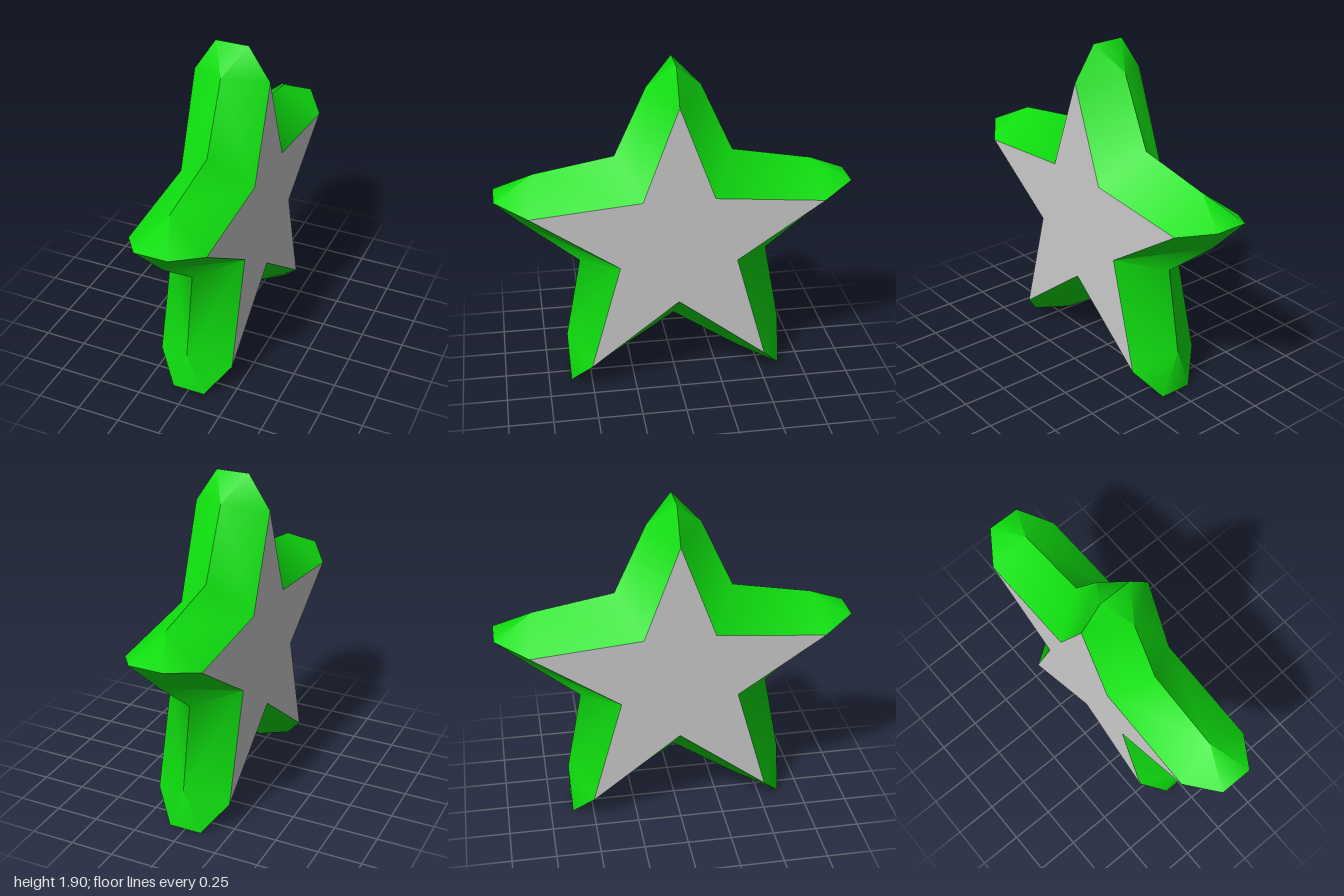
import * as THREE from 'three';
import { toCreasedNormals } from 'three/addons/utils/BufferGeometryUtils.js';

const FACE_X = 0.22, TIP_X = 0.095, CENTRE = new THREE.Vector3(0, 0.87, 0);

// Right half of each arm's outline as [z, y]; the other half is mirrored.
// Each arm: outer tip, face tip, shoulder before, shoulder after, valley after, face valley after.
const half = [
  { tip: [0, 1.9], face: [0, 1.71], before: [-0.15, 1.76], after: [0.15, 1.76], valley: [0.33, 1.37], notch: [0.2, 1.175] },
  { tip: [1, 1.175], face: [0.82, 1.12], before: [0.78, 1.29], after: [0.87, 1.01], valley: [0.54, 0.74], notch: [0.33, 0.785] },
  { tip: [0.62, 0], face: [0.505, 0.155], before: [0.63, 0.26], after: [0.39, 0.085], valley: [0, 0.35], notch: [0, 0.545] },
];
const flip = ([z, y]) => [-z, y];
const mirrored = (i, j) => ({
  tip: flip(half[i].tip), face: flip(half[i].face),
  before: flip(half[i].after), after: flip(half[i].before),
  valley: flip(half[j].valley), notch: flip(half[j].notch),
});
const arms = [...half, mirrored(2, 1), mirrored(1, 0)];

// Adds a triangle facing away from the centre.
function addTriangle(out, a, b, c) {
  const normal = b.clone().sub(a).cross(c.clone().sub(a));
  const middle = a.clone().add(b).add(c).divideScalar(3).sub(CENTRE);
  const order = normal.dot(middle) < 0 ? [a, c, b] : [a, b, c];
  order.forEach((p) => out.push(p.x, p.y, p.z));
}

function makeRim() {
  const out = [];
  const at = (x, [z, y]) => new THREE.Vector3(x, y, z);
  arms.forEach((arm, i) => {
    const previous = arms[(i + 4) % 5];
    const sides = [
      [arm.before, previous.valley, previous.notch],
      [arm.after, arm.valley, arm.notch],
    ];
    for (const [shoulder, valley, notch] of sides) {
      const s = at(0, shoulder), v = at(0, valley);
      // blunt end of the arm
      addTriangle(out, at(TIP_X, arm.tip), at(-TIP_X, arm.tip), s);
      for (const sign of [1, -1]) {
        const t = at(sign * FACE_X, arm.face), n = at(sign * FACE_X, notch);
        addTriangle(out, at(sign * TIP_X, arm.tip), t, s);
        // sloping wall from the flat face to the middle ridge
        addTriangle(out, t, s, n);
        addTriangle(out, s, v, n);
      }
    }
  });
  const geometry = new THREE.BufferGeometry();
  geometry.setAttribute('position', new THREE.Float32BufferAttribute(out, 3));
  return toCreasedNormals(geometry, 0.95);
}

function makeFace(sign) {
  const outline = arms.flatMap((arm) => [arm.face, arm.notch]);
  const shape = new THREE.Shape(outline.map(([z, y]) => new THREE.Vector2(-sign * z, y)));
  const geometry = new THREE.ShapeGeometry(shape);
  geometry.rotateY(sign * Math.PI / 2);
  geometry.translate(sign * FACE_X, 0, 0);
  return geometry;
}

export function createModel() {
  const model = new THREE.Group();
  model.name = 'star';
  const green = new THREE.MeshStandardMaterial({ color: 0x0fe00f, side: THREE.DoubleSide });
  const grey = new THREE.MeshStandardMaterial({ color: 0xcccccc });

  const rim = new THREE.Mesh(makeRim(), green);
  rim.name = 'bevelledRim';
  model.add(rim);

  for (const [name, sign] of [['leftFace', 1], ['rightFace', -1]]) {
    const face = new THREE.Mesh(makeFace(sign), grey);
    face.name = name;
    model.add(face);
  }
  return model;
}
